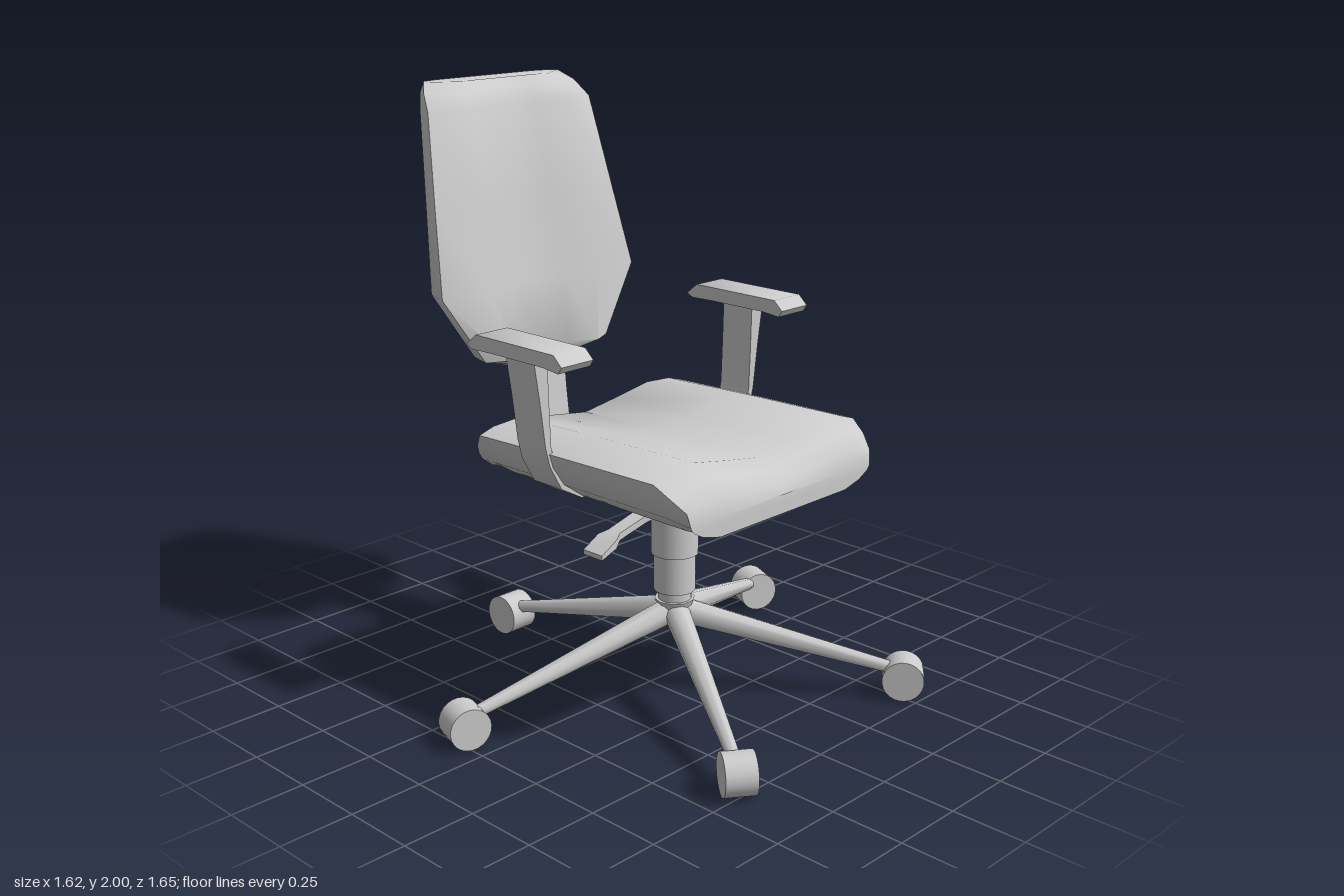
import * as THREE from 'three';
import { toCreasedNormals } from 'three/addons/utils/BufferGeometryUtils.js';

const material = new THREE.MeshStandardMaterial({ color: 0xcccccc });
const V = (x, y, z) => new THREE.Vector3(x, y, z);

function mesh(name, geometry) {
  const m = new THREE.Mesh(geometry, material);
  m.name = name;
  return m;
}

// Closed skin through rings of equal point count, capped at both ends, always facing outward
function loft(rings, crease = 0.75) {
  const n = rings[0].length, tris = [];
  for (let i = 0; i < rings.length - 1; i++) {
    for (let j = 0; j < n; j++) {
      const k = (j + 1) % n, a = rings[i], b = rings[i + 1];
      tris.push([a[j], a[k], b[k]], [a[j], b[k], b[j]]);
    }
  }
  const cap = (ring, flip) => {
    const flat = ring.map((p, j) => j);
    // halves mirror each other, so bridge opposite points
    for (let j = 0; j < n / 2; j++) {
      const q = [flat[j], flat[j + 1], flat[n - 1 - j], flat[(n - j) % n]].map((i) => ring[i % n]);
      for (const t of [[q[0], q[1], q[2]], [q[0], q[2], q[3]]]) {
        const area = V(0, 0, 0).crossVectors(t[1].clone().sub(t[0]), t[2].clone().sub(t[0])).length();
        if (area > 1e-8) tris.push(flip ? [t[2], t[1], t[0]] : t);
      }
    }
  };
  cap(rings[0], true);
  cap(rings[rings.length - 1], false);
  const volume = tris.reduce((s, [a, b, c]) => s + a.dot(b.clone().cross(c)), 0);
  const points = tris.flatMap(([a, b, c]) => (volume < 0 ? [a, c, b] : [a, b, c]));
  const g = new THREE.BufferGeometry().setFromPoints(points);
  g.computeVertexNormals();
  return toCreasedNormals(g, crease);
}

// Half profile (z >= 0, starting and ending on z = 0) completed by its mirror image
function mirrored(half) {
  return half.concat(half.slice(1, -1).reverse().map((p) => V(p.x, p.y, -p.z)));
}

// Tapered rod between two points
function rod(a, b, ra, rb, sides) {
  const d = b.clone().sub(a);
  const g = new THREE.CylinderGeometry(rb, ra, d.length(), sides);
  g.applyQuaternion(new THREE.Quaternion().setFromUnitVectors(V(0, 1, 0), d.clone().normalize()));
  const mid = a.clone().add(b).multiplyScalar(0.5);
  return g.translate(mid.x, mid.y, mid.z);
}

function seat() {
  const half = [[0, 0], [0.2, 0], [0.33, 0], [0.41, 0.06], [0.455, 0.13], [0.47, 0.18],
    [0.41, 0.2], [0.3, 0.208], [0.15, 0.18], [0, 0.155]];
  // x, width factor, height factor
  const rows = [[-0.37, 0.93, 0.45], [-0.36, 0.96, 0.62], [-0.325, 1, 0.88], [0.05, 1, 0.95],
    [0.46, 1, 1], [0.515, 0.97, 0.8], [0.56, 0.92, 0.58], [0.57, 0.9, 0.3]];
  return mesh('seat', loft(rows.map(([x, w, h]) =>
    mirrored(half.map(([z, y]) => V(x, 0.757 + y * h, z * w)))), 0.9));
}

function backrest() {
  // height, half width, front x, back x, outer edge x, half width of the dished front
  const rows = [
    [1.035, 0.12, -0.55, -0.59, -0.565, 0.08], [1.085, 0.28, -0.475, -0.64, -0.51, 0.21],
    [1.32, 0.435, -0.515, -0.69, -0.535, 0.24], [1.6, 0.4, -0.565, -0.735, -0.6, 0.23],
    [1.91, 0.36, -0.62, -0.79, -0.67, 0.22], [1.965, 0.335, -0.65, -0.803, -0.72, 0.21],
    [1.997, 0.3, -0.695, -0.805, -0.765, 0.19]];
  return mesh('backrest', loft(rows.map(([y, w, f, b, o, d], i) => {
    const dip = i === 0 ? 0.01 : 0.055;
    return mirrored([V(f - dip, y, 0), V(f - dip * 0.75, y, d * 0.5), V(f, y, d), V(o, y, w),
      V(b + (o - b) * 0.35, y, w * 0.92), V(b, y, w * 0.72), V(b, y, w * 0.35), V(b, y, 0)]);
  }), 0.9));
}

// Flat strip rising from under the seat to the backrest
function backSupport() {
  // upper edge x, y, lower edge x, y, half width
  const rows = [[-0.3, 0.85, -0.3, 0.757, 0.17], [-0.37, 0.84, -0.37, 0.757, 0.155],
    [-0.46, 0.815, -0.49, 0.757, 0.11], [-0.512, 0.815, -0.552, 0.785, 0.1],
    [-0.525, 0.92, -0.565, 0.92, 0.1], [-0.545, 1.12, -0.59, 1.12, 0.1]];
  return mesh('backSupport', loft(rows.map(([x, y, u, v, w]) =>
    [V(x, y, -w), V(x, y, w), V(u, v, w), V(u, v, -w)])));
}

function armrest(side) {
  const group = new THREE.Group();
  group.name = side > 0 ? 'leftArmrest' : 'rightArmrest';
  // strap hugging the seat: outer z, y, inner z, y
  const path = [[0.28, 0.75, 0.28, 0.775], [0.335, 0.752, 0.325, 0.775], [0.42, 0.8, 0.405, 0.815],
    [0.468, 0.885, 0.448, 0.89], [0.485, 0.95, 0.462, 0.95], [0.505, 1.1, 0.468, 1.1],
    [0.528, 1.245, 0.472, 1.245]];
  group.add(mesh('armPost', loft(path.map(([z, y, u, v]) => [V(-0.12, y, z * side),
    V(0.01, y, z * side), V(0.01, v, u * side), V(-0.12, v, u * side)]))));
  // pad
  const outline = [[-0.26, 1.25], [-0.215, 1.287], [0.14, 1.287], [0.175, 1.255], [0.16, 1.233],
    [0.09, 1.24], [-0.13, 1.24], [-0.235, 1.238]];
  const pad = new THREE.ExtrudeGeometry(new THREE.Shape(outline.map(([x, y]) => new THREE.Vector2(x, y))),
    { depth: 0.13, bevelEnabled: false });
  pad.translate(0, 0, 0.495 * side + (side > 0 ? -0.0 : 0.0) - 0.065 + 0.005 * side);
  group.add(mesh('armPad', toCreasedNormals(pad, 0.75)));
  return group;
}

function column() {
  const group = new THREE.Group();
  group.name = 'column';
  for (const [name, r, y0, y1] of [['upperSleeve', 0.079, 0.5, 0.77], ['lowerSleeve', 0.07, 0.37, 0.5],
    ['piston', 0.056, 0.31, 0.37]]) {
    group.add(mesh(name, rod(V(0.1, y0, 0), V(0.1, y1, 0), r, r, 24)));
  }
  // height lever with a paddle end: z, y, half width, half thickness
  const rows = [[0.04, 0.695, 0.052, 0.013], [0.09, 0.685, 0.05, 0.013], [0.16, 0.665, 0.028, 0.012],
    [0.28, 0.635, 0.026, 0.012], [0.31, 0.622, 0.042, 0.014], [0.375, 0.592, 0.042, 0.008]];
  group.add(mesh('heightLever', loft(rows.map(([z, y, w, t]) =>
    [V(0.1 - w, y - t, z), V(0.1 + w, y - t, z), V(0.1 + w, y + t, z), V(0.1 - w, y + t, z)]))));
  return group;
}

function base() {
  const group = new THREE.Group();
  group.name = 'base';
  group.add(mesh('hub', rod(V(0.1, 0.275, 0), V(0.1, 0.338, 0), 0.045, 0.068, 10)));
  // wheel x, z and axle direction x, z
  const wheels = [[-0.19, -0.735, 0.91, 0.41], [0.68, -0.505, 0.6, 0.8], [0.73, 0.385, -0.58, 0.81],
    [-0.1, 0.75, 0.95, 0.3], [-0.67, 0.055, 0, 1]];
  for (const [x, z, ax, az] of wheels) {
    group.add(mesh('leg', rod(V(0.1, 0.3, 0), V(x, 0.09, z), 0.046, 0.02, 8)));
    const axle = V(ax, 0, az).normalize().multiplyScalar(0.051), c = V(x, 0.07, z);
    group.add(mesh('caster', rod(c.clone().sub(axle), c.clone().add(axle), 0.07, 0.07, 24)));
  }
  return group;
}

export function createModel() {
  const model = new THREE.Group();
  model.name = 'officeChair';
  const chair = new THREE.Group();
  chair.name = 'chair';
  chair.add(seat(), backrest(), backSupport(), armrest(1), armrest(-1), column(), base());
  chair.position.z = -0.015;
  model.add(chair);
  return model;
}
